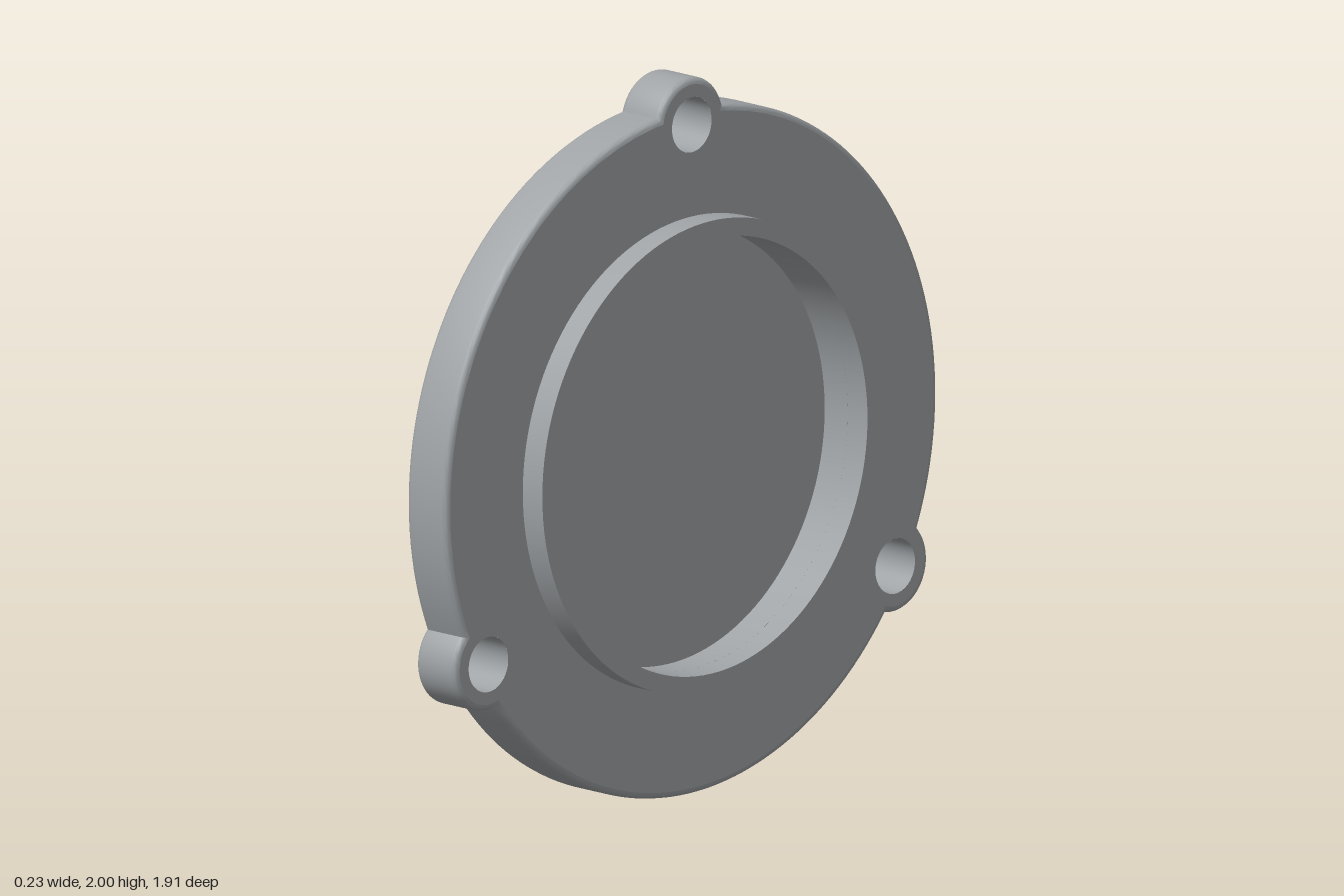
import * as THREE from 'three';
import { toCreasedNormals } from 'three/addons/utils/BufferGeometryUtils.js';

const R = 0.957, BOSS_DIST = 0.913, BOSS_R = 0.13, HOLE_R = 0.077;
const BACK = -0.107, FRONT = 0.043, ROUND = 0.018;
const LIP_IN = 0.607, LIP_OUT = 0.657, LIP_FRONT = 0.117, FLOOR = -0.045;
const bossAngles = [0, 1, 2].map(i => Math.PI / 2 + i * Math.PI * 2 / 3);

// Disc outline with three round ears, inset by d; the point count never changes
function outline(d) {
  const r = R - d, b = BOSS_R - d, pts = [];
  const phi = Math.acos((r * r + BOSS_DIST ** 2 - b * b) / (2 * r * BOSS_DIST));
  const psi = Math.atan2(r * Math.sin(phi), r * Math.cos(phi) - BOSS_DIST);
  for (const a of bossAngles) {
    const cx = BOSS_DIST * Math.cos(a), cy = BOSS_DIST * Math.sin(a);
    for (let i = 0; i <= 24; i++) {
      const t = a + psi * (i / 12 - 1);
      pts.push(new THREE.Vector2(cx + b * Math.cos(t), cy + b * Math.sin(t)));
    }
    const span = Math.PI * 2 / 3 - 2 * phi;
    for (let i = 1; i < 48; i++) {
      const t = a + phi + span * i / 48;
      pts.push(new THREE.Vector2(r * Math.cos(t), r * Math.sin(t)));
    }
  }
  return pts;
}

// Outer wall with rounded edges, lofted from inset outlines
function rimGeometry() {
  const layers = [], steps = 4;
  for (let i = 0; i <= steps; i++) {
    const t = i / steps * Math.PI / 2;
    layers.push([ROUND * (1 - Math.sin(t)), BACK + ROUND * (1 - Math.cos(t))]);
  }
  for (let i = steps; i >= 0; i--) {
    const t = i / steps * Math.PI / 2;
    layers.push([ROUND * (1 - Math.sin(t)), FRONT - ROUND * (1 - Math.cos(t))]);
  }
  const pos = [], index = [];
  let n = 0;
  layers.forEach(([d, z], k) => {
    const pts = outline(d);
    n = pts.length;
    pts.forEach(p => pos.push(p.x, p.y, z));
    if (k === 0) return;
    for (let i = 0; i < n; i++) {
      const j = (i + 1) % n, lo = (k - 1) * n, hi = k * n;
      index.push(lo + i, lo + j, hi + j, lo + i, hi + j, hi + i);
    }
  });
  const g = new THREE.BufferGeometry();
  g.setAttribute('position', new THREE.Float32BufferAttribute(pos, 3));
  g.setIndex(index);
  return toCreasedNormals(g, 0.6);
}

// Flat face with bolt holes and an optional central opening
function faceGeometry(opening) {
  const shape = new THREE.Shape(outline(ROUND));
  const addHole = (x, y, r) => shape.holes.push(new THREE.Path().absarc(x, y, r, 0, Math.PI * 2, true));
  for (const a of bossAngles) addHole(BOSS_DIST * Math.cos(a), BOSS_DIST * Math.sin(a), HOLE_R);
  if (opening) addHole(0, 0, opening);
  return new THREE.ShapeGeometry(shape, 48);
}

// Turned part about the z axis
function turned(points) {
  const g = new THREE.LatheGeometry(points.map(p => new THREE.Vector2(...p)), 128);
  return toCreasedNormals(g.rotateX(Math.PI / 2), 0.6);
}

export function createModel() {
  const metal = new THREE.MeshStandardMaterial({ color: 0x9fa3a6 });
  metal.name = 'grey metal';
  const boreMetal = metal.clone();
  boreMetal.side = THREE.DoubleSide;

  const model = new THREE.Group();
  model.name = 'flangeCover';
  const cover = new THREE.Group();
  cover.name = 'cover';
  const add = (name, geometry, material = metal) => {
    const mesh = new THREE.Mesh(geometry, material);
    mesh.name = name;
    cover.add(mesh);
    return mesh;
  };

  // Flange body
  add('flangeRim', rimGeometry());
  add('flangeFrontFace', faceGeometry(LIP_IN)).position.z = FRONT;
  const back = add('flangeBackFace', faceGeometry(0));
  back.rotation.y = Math.PI;
  back.position.z = BACK;

  // Bolt hole walls
  for (const a of bossAngles) {
    const bore = new THREE.CylinderGeometry(HOLE_R, HOLE_R, FRONT - BACK, 48, 1, true);
    bore.rotateX(Math.PI / 2);
    add('boltHole', bore, boreMetal).position.set(
      BOSS_DIST * Math.cos(a), BOSS_DIST * Math.sin(a), (FRONT + BACK) / 2);
  }

  // Raised lip around the recessed pocket
  add('lipAndPocket', turned([
    [LIP_OUT, FRONT], [LIP_OUT, LIP_FRONT], [LIP_IN, LIP_FRONT], [LIP_IN, FLOOR], [0, FLOOR]]));

  // Shallow raised ring on the reverse
  add('backRing', turned([
    [0.657, BACK], [0.657, -0.113], [0.661, -0.117], [0.721, -0.117], [0.725, -0.113], [0.725, BACK]]));

  cover.rotation.y = Math.PI / 2;
  cover.position.y = R;
  model.add(cover);
  return model;
}
